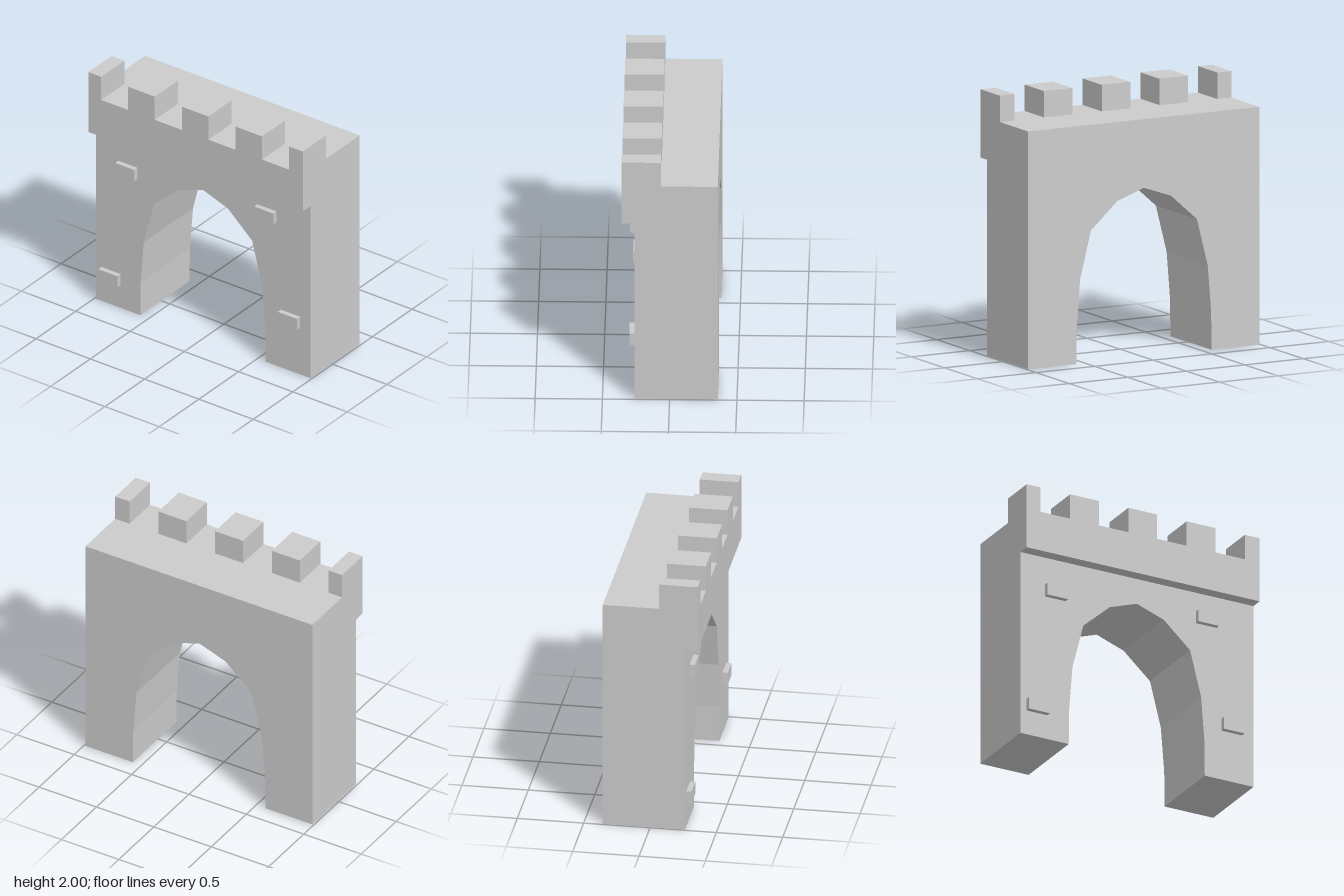
import * as THREE from 'three';

const HALF = 0.988;      // half width of the gate
const BACK = -0.358, FRONT = 0.262, PARAPET = 0.358; // z planes
const WALL_TOP = 1.8;

export function createModel() {
  const group = new THREE.Group();
  const stone = new THREE.MeshStandardMaterial({ color: 0xcccccc, flatShading: true });

  const add = (name, geometry) => {
    const mesh = new THREE.Mesh(geometry, stone);
    mesh.name = name;
    group.add(mesh);
    return mesh;
  };

  // Box given by its limits on each axis
  const block = (name, x0, x1, y0, y1, z0, z1) =>
    add(name, new THREE.BoxGeometry(x1 - x0, y1 - y0, z1 - z0))
      .position.set((x0 + x1) / 2, (y0 + y1) / 2, (z0 + z1) / 2);

  // Wall with a faceted arch cut through it
  const arch = [[0.577, 0], [0.574, 0.28], [0.545, 0.64], [0.453, 1], [0.229, 1.2]];
  const outline = [
    [-HALF, 0],
    ...arch.map(([x, y]) => [-x - 0.002, y]),
    [-0.002, 1.28],
    ...arch.map(([x, y]) => [x - 0.002, y]).reverse(),
    [HALF, 0], [HALF, WALL_TOP], [-HALF, WALL_TOP],
  ].map(([x, y]) => new THREE.Vector2(x, y));
  const wall = new THREE.ExtrudeGeometry(new THREE.Shape(outline), {
    depth: FRONT - BACK, bevelEnabled: false,
  });
  add('archedWall', wall.translate(0, 0, BACK));

  // Overhanging parapet band
  block('parapet', -HALF, HALF, 1.483, WALL_TOP, FRONT, PARAPET);

  // Merlons, the outer two cut to half width by the wall ends
  for (let i = -2; i <= 2; i++) {
    const x = i * 0.494 - 0.004;
    block('merlon', i === -2 ? -HALF : x - 0.122, i === 2 ? HALF : x + 0.122,
      WALL_TOP, 2, 0.066, PARAPET);
  }

  // Raised bricks on the front face
  for (const [x, y] of [[-0.694, 1.213], [0.587, 1.282], [0.803, 0.449], [-0.848, 0.243]]) {
    block('raisedBrick', x - 0.088, x + 0.088, y - 0.048, y + 0.048, FRONT, 0.302);
  }

  return group;
}
